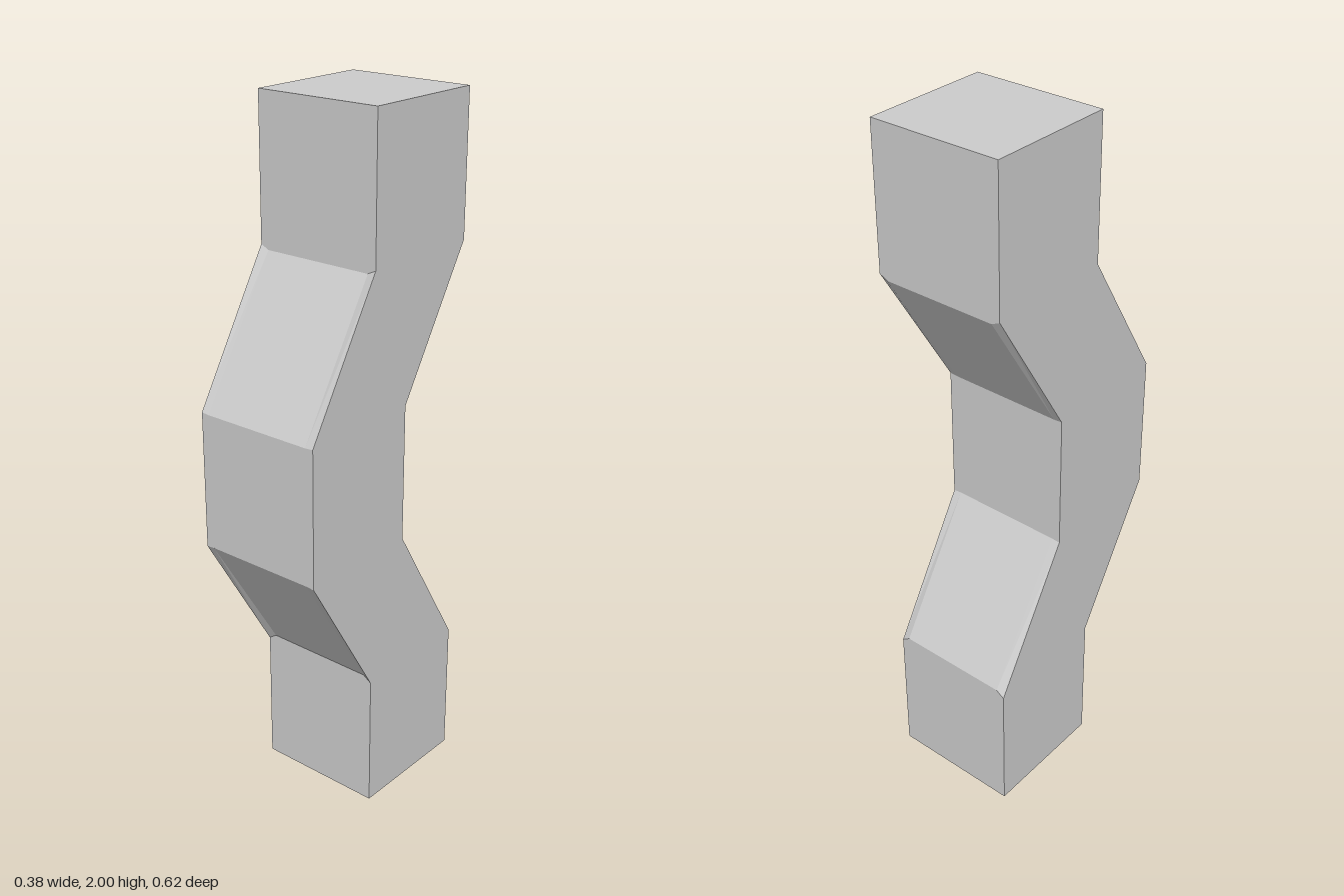
import * as THREE from 'three';

// Column stations: [height at the side edge, height inside, z offset of the section]
const STATIONS = [
  [0, 0, -0.121],
  [0.4, 0.417, -0.121],
  [0.805, 0.807, 0.121],
  [1.2, 1.198, 0.121],
  [1.6, 1.588, -0.121],
  [2, 2, -0.121],
];
const HALF_DEPTH = 0.188;
const COLUMNS = [-0.191, -0.166, 0.166, 0.191];

function createColumnGeometry() {
  const positions = [];
  const point = (row, col, side) => {
    const [edgeY, innerY, z] = STATIONS[row];
    const y = col === 0 || col === 3 ? edgeY : innerY;
    return [COLUMNS[col], y, z + side * HALF_DEPTH];
  };
  const quad = (a, b, c, d) => positions.push(...a, ...b, ...c, ...a, ...c, ...d);

  for (let r = 0; r < STATIONS.length - 1; r++) {
    // Front and back faces, with narrow strips along the edges
    for (let c = 0; c < 3; c++) {
      quad(point(r, c, 1), point(r, c + 1, 1), point(r + 1, c + 1, 1), point(r + 1, c, 1));
      quad(point(r, c + 1, -1), point(r, c, -1), point(r + 1, c, -1), point(r + 1, c + 1, -1));
    }
    // Flat left and right sides
    quad(point(r, 3, 1), point(r, 3, -1), point(r + 1, 3, -1), point(r + 1, 3, 1));
    quad(point(r, 0, -1), point(r, 0, 1), point(r + 1, 0, 1), point(r + 1, 0, -1));
  }

  // Top and bottom caps
  const last = STATIONS.length - 1;
  for (let c = 0; c < 3; c++) {
    quad(point(last, c, 1), point(last, c + 1, 1), point(last, c + 1, -1), point(last, c, -1));
    quad(point(0, c, -1), point(0, c + 1, -1), point(0, c + 1, 1), point(0, c, 1));
  }

  const geometry = new THREE.BufferGeometry();
  geometry.setAttribute('position', new THREE.Float32BufferAttribute(positions, 3));
  geometry.computeVertexNormals();
  return geometry;
}

export function createModel() {
  const group = new THREE.Group();
  group.name = 'bentColumn';
  const material = new THREE.MeshStandardMaterial({ color: 0xcccccc, flatShading: true });
  const column = new THREE.Mesh(createColumnGeometry(), material);
  column.name = 'column';
  group.add(column);
  return group;
}
